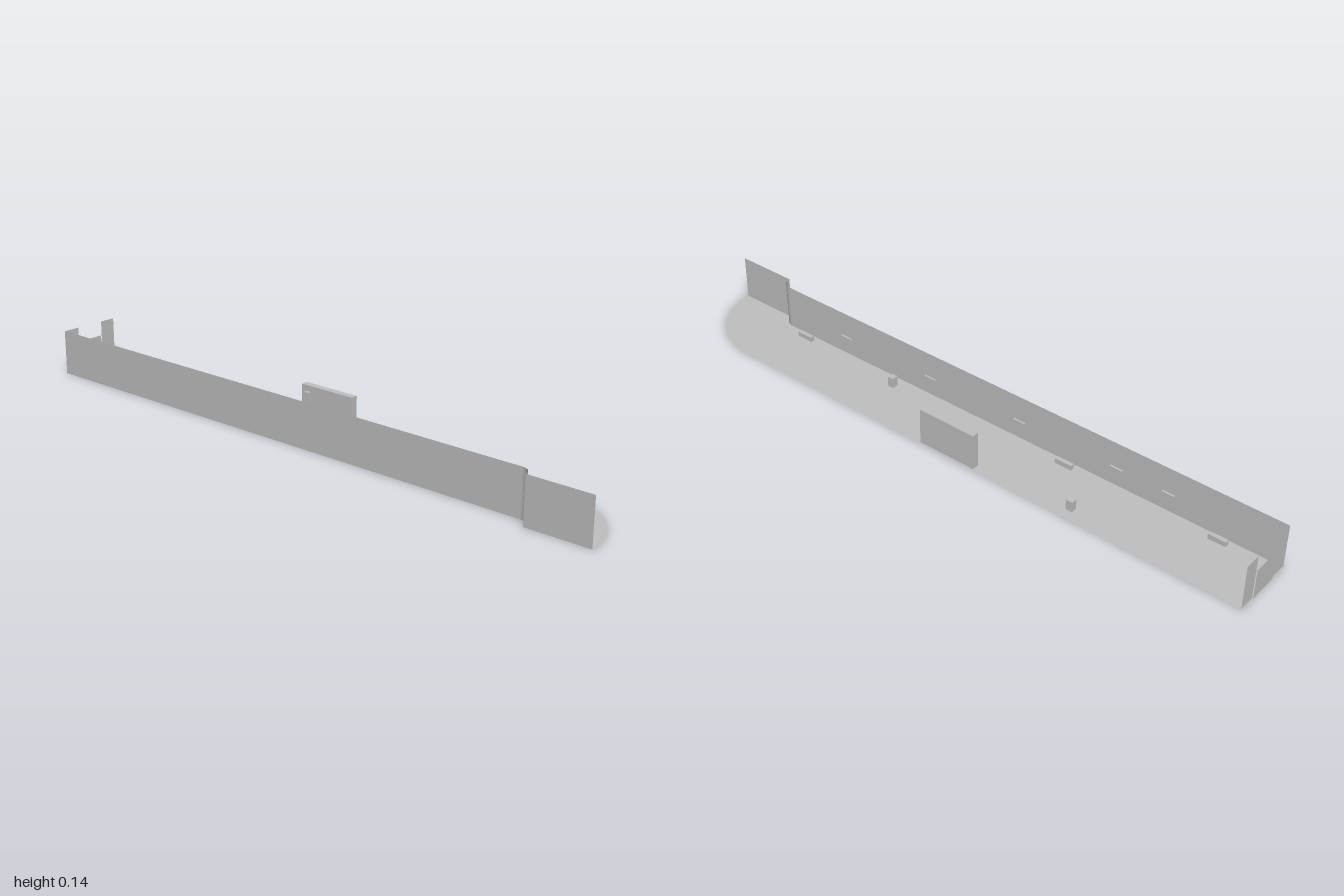
import * as THREE from 'three';

const grey = new THREE.MeshStandardMaterial({ color: 0xc0c0c0, side: THREE.DoubleSide });
grey.name = 'grey';

const LEFT = 0.118, WALL = -0.083, END = -0.118, BACK = -0.997;
const HEIGHT = 0.142, BEND_Z = 0.765, INNER_R = 0.035, OUTER_R = 0.235;

export function createModel() {
  const group = new THREE.Group();

  const add = (name, geometry, x = 0, y = 0, z = 0) => {
    const mesh = new THREE.Mesh(geometry, grey);
    mesh.name = name;
    mesh.position.set(x, y, z);
    group.add(mesh);
    return mesh;
  };
  // Box given by its limits on each axis
  const box = (name, [x0, x1], [y0, y1], [z0, z1]) =>
    add(name, new THREE.BoxGeometry(x1 - x0, y1 - y0, z1 - z0),
      (x0 + x1) / 2, (y0 + y1) / 2, (z0 + z1) / 2);
  // Thin wall facing +x
  const sideWall = (name, x, z0, z1) => {
    add(name, new THREE.PlaneGeometry(z1 - z0, HEIGHT), x, HEIGHT / 2, (z0 + z1) / 2)
      .rotation.y = Math.PI / 2;
  };
  // Thin wall facing +z
  const crossWall = (name, x0, x1, h, z) =>
    add(name, new THREE.PlaneGeometry(x1 - x0, h), (x0 + x1) / 2, h / 2, z);

  // Floor: long strip with a quarter-turn at the front
  const s = new THREE.Shape();
  s.moveTo(WALL, 1);
  s.lineTo(WALL, -BEND_Z);
  s.absarc(END, -BEND_Z, INNER_R, 0, -Math.PI / 2, true);
  s.lineTo(END, -1);
  s.absarc(END, -BEND_Z, OUTER_R, -Math.PI / 2, 0, false);
  s.lineTo(LEFT, 1);
  add('floor', new THREE.ShapeGeometry(s, 32)).rotation.x = -Math.PI / 2;

  // Long wall, its rounded corner and the end wall
  sideWall('longWall', WALL, -1, BEND_Z);
  sideWall('endWall', END, BEND_Z + INNER_R, 1);
  add('roundedCorner',
    new THREE.CylinderGeometry(INNER_R, INNER_R, HEIGHT, 24, 1, true, 0, Math.PI / 2),
    END, HEIGHT / 2, BEND_Z);

  // Back wall with a lower middle panel
  crossWall('backWallRight', WALL, -0.03, HEIGHT, BACK);
  crossWall('backWallLeft', 0.066, LEFT, HEIGHT, BACK);
  crossWall('backPanel', -0.03, 0.066, 0.094, -1);

  // Upright slab with a post beside it
  box('slab', [0.091, 0.113], [0, 0.115], [-0.131, 0.062]);
  box('post', [0.079, 0.091], [0, 0.097], [-0.112, -0.094]);

  // Small blocks on the floor
  box('smallBlock', [0.068, 0.087], [0, 0.033], [-0.452, -0.431]);
  box('smallBlock', [-0.054, -0.034], [0, 0.033], [0.296, 0.316]);
  for (const z of [0.683, -0.317, -0.817])
    box('lowBlock', [-0.068, -0.055], [0, 0.016], [z - 0.028, z + 0.028]);

  // Plates along the long wall
  for (const z of [0.517, 0.183, -0.148, -0.481, -0.649])
    box('wallPlate', [-0.076, -0.07], [0.027, 0.068], [z - 0.02, z + 0.02]);

  return group;
}
